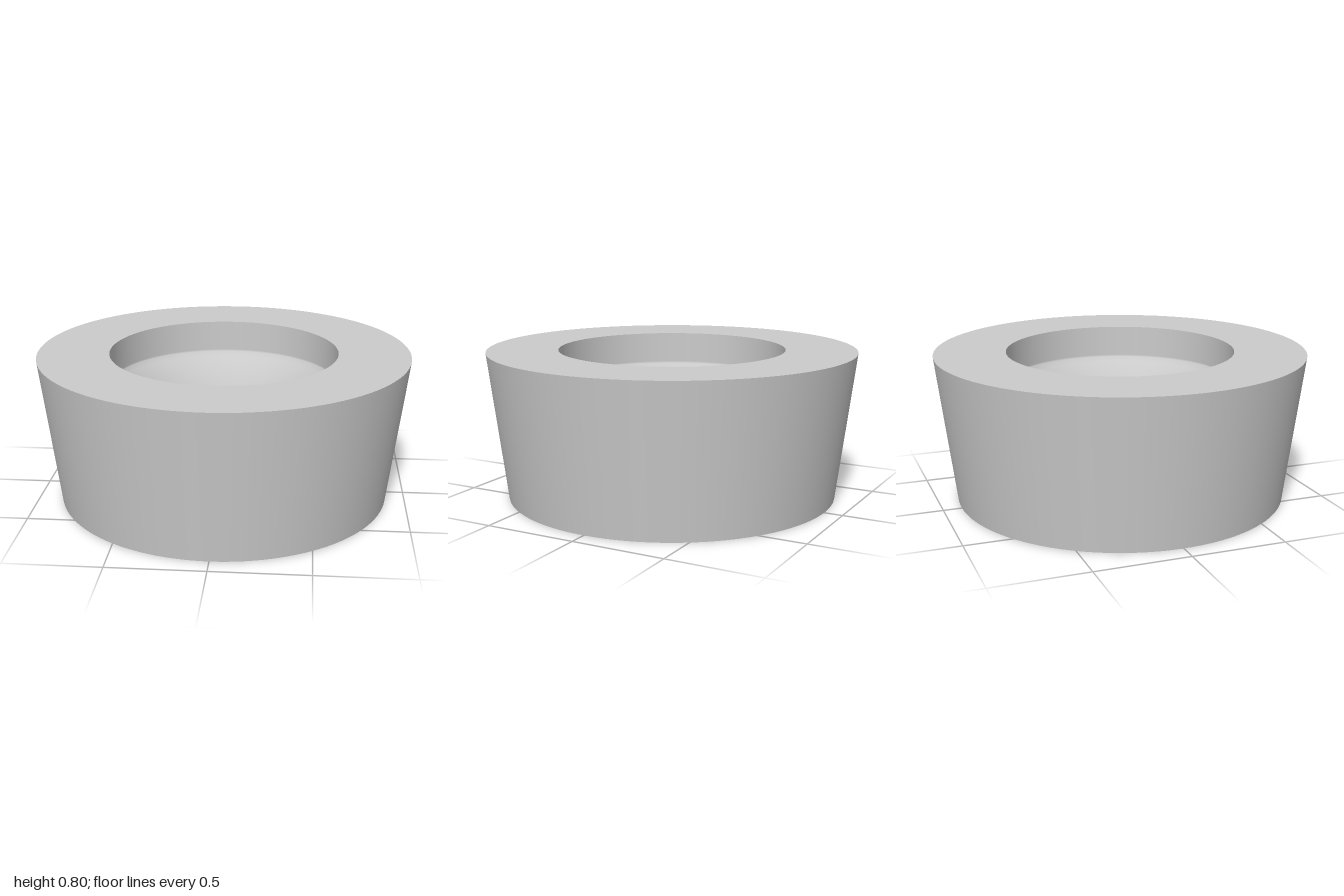
import * as THREE from 'three';

const HEIGHT = 0.8, TOP_R = 1, BASE_R = 0.9;
const MOUTH_R = 0.615, BORE_R = 0.44, SEAT_Y = 0.62;
const SEGMENTS = 128;

export function createModel() {
  const group = new THREE.Group();
  group.name = 'taperedRing';
  const material = new THREE.MeshStandardMaterial({ color: 0xcccccc });

  // Each surface is its own lathe, so the rims between them stay sharp.
  const addLathe = (name, profile) => {
    const points = profile.map(([r, y]) => new THREE.Vector2(r, y));
    const mesh = new THREE.Mesh(new THREE.LatheGeometry(points, SEGMENTS), material);
    mesh.name = name;
    group.add(mesh);
  };

  addLathe('bottomFace', [[BORE_R, 0], [BASE_R, 0]]);
  addLathe('outerWall', [[BASE_R, 0], [TOP_R, HEIGHT]]);
  addLathe('topFace', [[TOP_R, HEIGHT], [MOUTH_R, HEIGHT]]);

  // Bore: straight mouth, flared seat curving tangentially into a straight hole.
  const bore = [[MOUTH_R, HEIGHT], [MOUTH_R, SEAT_Y + 0.01]];
  const flare = THREE.MathUtils.degToRad(40);
  const radius = (MOUTH_R - BORE_R) / (1 - Math.cos(flare));
  const tangentY = SEAT_Y - radius * Math.sin(flare);
  const steps = 16;
  for (let i = 0; i <= steps; i++) {
    const a = flare * (1 - i / steps);
    bore.push([BORE_R + radius * (1 - Math.cos(a)), tangentY + radius * Math.sin(a)]);
  }
  bore.push([BORE_R, 0]);
  addLathe('bore', bore);

  return group;
}
